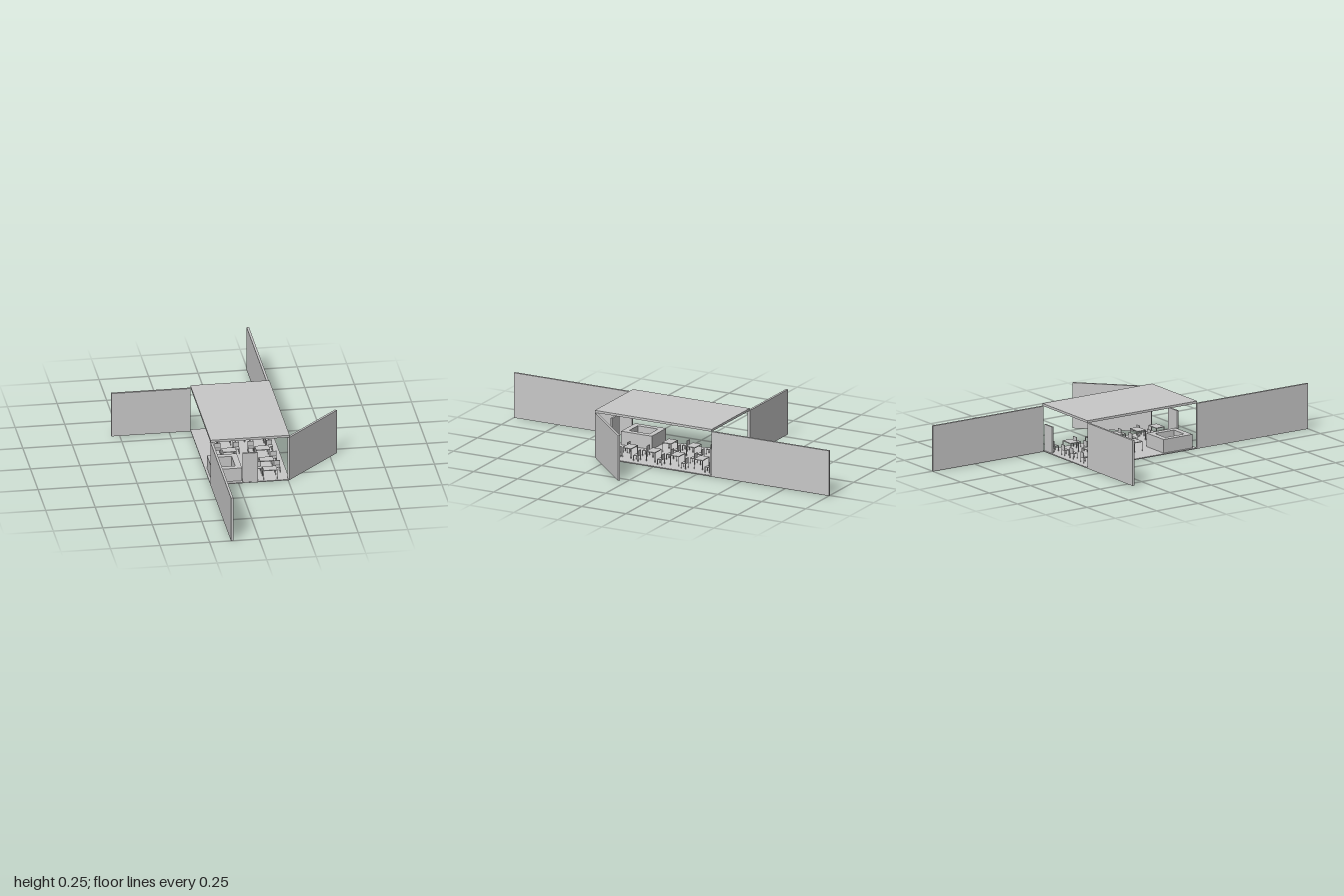
import * as THREE from 'three';

export function createModel() {
  const model = new THREE.Group();
  model.name = 'pavilion';
  const grey = new THREE.MeshStandardMaterial({ color: 0xc8c8c8 });
  grey.name = 'light grey';

  // Box given by its limits on each axis
  const box = (name, x0, x1, y0, y1, z0, z1, parent = model) => {
    const mesh = new THREE.Mesh(new THREE.BoxGeometry(x1 - x0, y1 - y0, z1 - z0), grey);
    mesh.position.set((x0 + x1) / 2, (y0 + y1) / 2, (z0 + z1) / 2);
    mesh.name = name;
    parent.add(mesh);
    return mesh;
  };

  // Slabs
  box('floor', -0.142, 0.257, 0, 0.005, -0.333, 0.33);
  box('roof', -0.142, 0.257, 0.235, 0.247, -0.333, 0.33);

  // Long walls reaching out from the corners
  const wallTop = 0.235;
  box('frontWall', -0.142, -0.13, 0, wallTop, 0.33, 1);
  box('backWall', 0.245, 0.257, 0, wallTop, -1, -0.333);
  box('sideWall', -0.542, -0.142, 0, wallTop, -0.333, -0.321);

  // Angled wall swinging out from the front corner
  const angled = new THREE.Group();
  angled.name = 'angledWall';
  angled.position.set(0.257, 0, 0.328);
  angled.rotation.y = Math.PI / 4;
  box('angledPanel', 0, 0.4, 0, wallTop, -0.012, 0, angled);
  model.add(angled);

  // Free-standing screens at the two open ends
  box('frontScreen', 0.02, 0.097, 0.005, 0.162, 0.318, 0.328);
  box('backScreen', 0.18, 0.245, 0.005, 0.141, -0.328, -0.319);

  // Hollow rectangular counter
  const counter = new THREE.Group();
  counter.name = 'counter';
  model.add(counter);
  const t = 0.03;
  box('counterFront', -0.13, 0.02, 0.005, 0.075, 0.31 - t, 0.31, counter);
  box('counterBack', -0.13, 0.02, 0.005, 0.075, 0.135, 0.135 + t, counter);
  box('counterOuterSide', -0.13, -0.13 + t, 0.005, 0.075, 0.135 + t, 0.31 - t, counter);
  box('counterInnerSide', 0.02 - t, 0.02, 0.005, 0.075, 0.135 + t, 0.31 - t, counter);

  // Four thin legs under a rectangle centred on the group
  const legs = (name, w, d, top, parent) => {
    const r = 0.0015;
    for (const sx of [-1, 1]) for (const sz of [-1, 1]) {
      const x = sx * (w / 2 - r), z = sz * (d / 2 - r);
      box(name, x - r, x + r, 0.005, top, z - r, z + r, parent);
    }
  };

  const table = (x, z) => {
    const g = new THREE.Group();
    g.name = 'table';
    g.position.set(x, 0, z);
    box('tableTop', -0.035, 0.035, 0.052, 0.056, -0.025, 0.025, g);
    legs('tableLeg', 0.07, 0.05, 0.052, g);
    model.add(g);
  };

  // Chair with its back on the -z side
  const chair = (x, z) => {
    const g = new THREE.Group();
    g.name = 'chair';
    g.position.set(x, 0, z);
    box('seat', -0.015, 0.015, 0.031, 0.034, -0.014, 0.014, g);
    box('chairBack', -0.015, 0.015, 0.034, 0.06, -0.014, -0.011, g);
    legs('chairLeg', 0.03, 0.028, 0.031, g);
    model.add(g);
  };

  // Two columns of tables, each with a pair of chairs
  const columns = [
    { x: 0.163, rows: [-0.225, -0.09, 0.045, 0.18, 0.292] },
    { x: -0.005, rows: [-0.225, -0.09, 0.045] },
  ];
  for (const { x, rows } of columns) {
    for (const z of rows) {
      table(x, z);
      for (const s of [-1, 1]) chair(x + s * 0.047, z - 0.065);
    }
  }

  return model;
}
